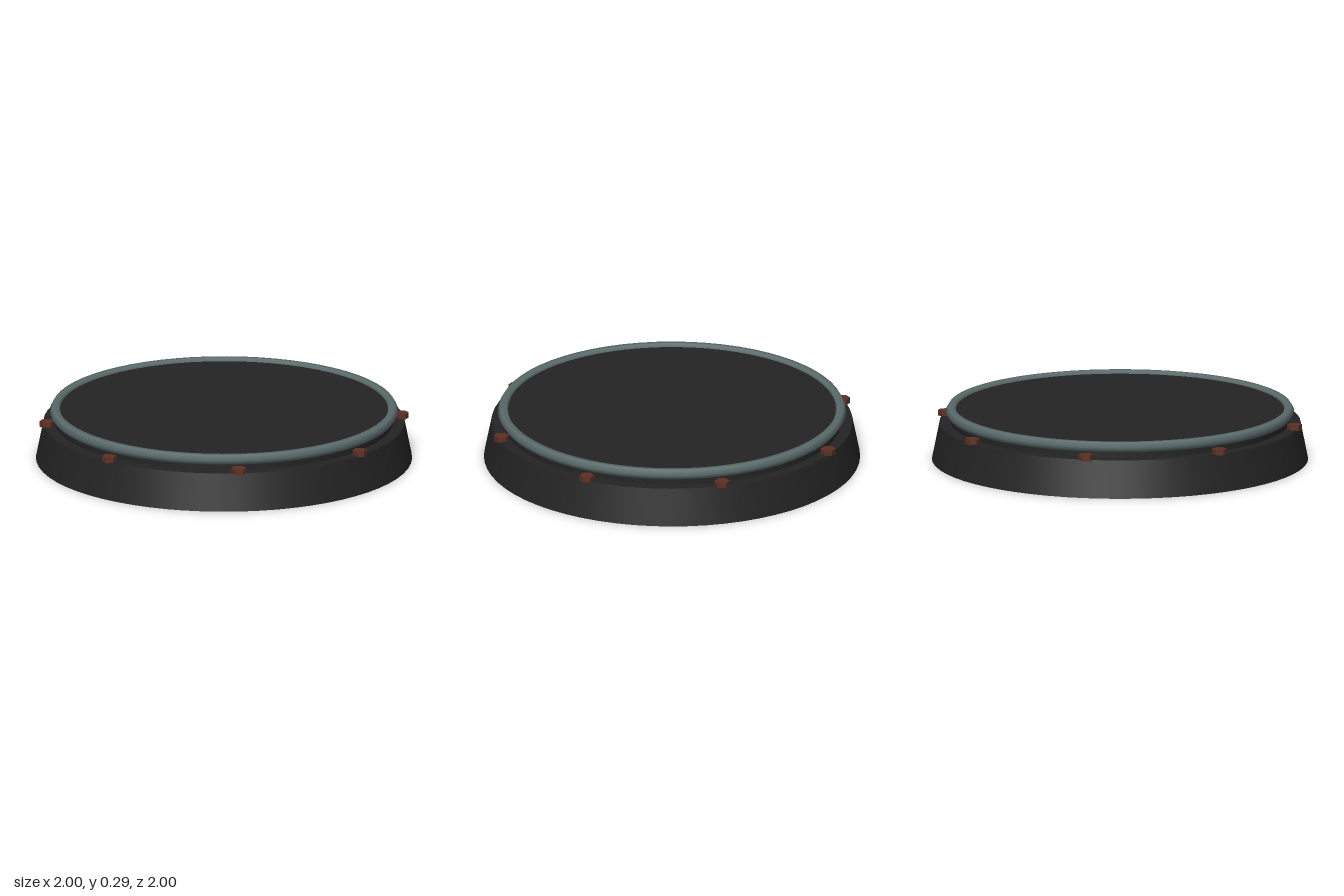
import * as THREE from 'three';

export function createModel() {
  const model = new THREE.Group();
  const flat = (name, color) => {
    const m = new THREE.MeshStandardMaterial({ color });
    m.name = name;
    return m;
  };
  const darkIron = flat('darkIron', 0x242424);
  const greySteel = flat('greySteel', 0x5c6c6c);
  const rust = flat('rust', 0x5e3022);

  const add = (name, geometry, material, x, y, z) => {
    const mesh = new THREE.Mesh(geometry, material);
    mesh.name = name;
    mesh.position.set(x, y, z);
    model.add(mesh);
    return mesh;
  };

  // Tapered base and the raised plate on it
  add('base', new THREE.CylinderGeometry(0.96, 1, 0.2, 64), darkIron, 0, 0.1, 0);
  add('topPlate', new THREE.CylinderGeometry(0.9, 0.9, 0.07, 64), darkIron, 0, 0.235, 0);

  // Six-sided rim ring around the plate
  const ring = new THREE.TorusGeometry(0.896, 0.03, 6, 64).rotateX(Math.PI / 2);
  add('rimRing', ring, greySteel, 0, 0.26, 0);

  // Eight hexagonal bolts, all with corners pointing along x
  const bolt = new THREE.CylinderGeometry(0.04, 0.04, 0.03, 6).rotateY(Math.PI / 2).toNonIndexed();
  bolt.computeVertexNormals();
  for (let i = 0; i < 8; i++) {
    const a = (i * Math.PI) / 4;
    add('bolt', bolt, rust, 0.945 * Math.cos(a), 0.211, 0.945 * Math.sin(a));
  }

  return model;
}
